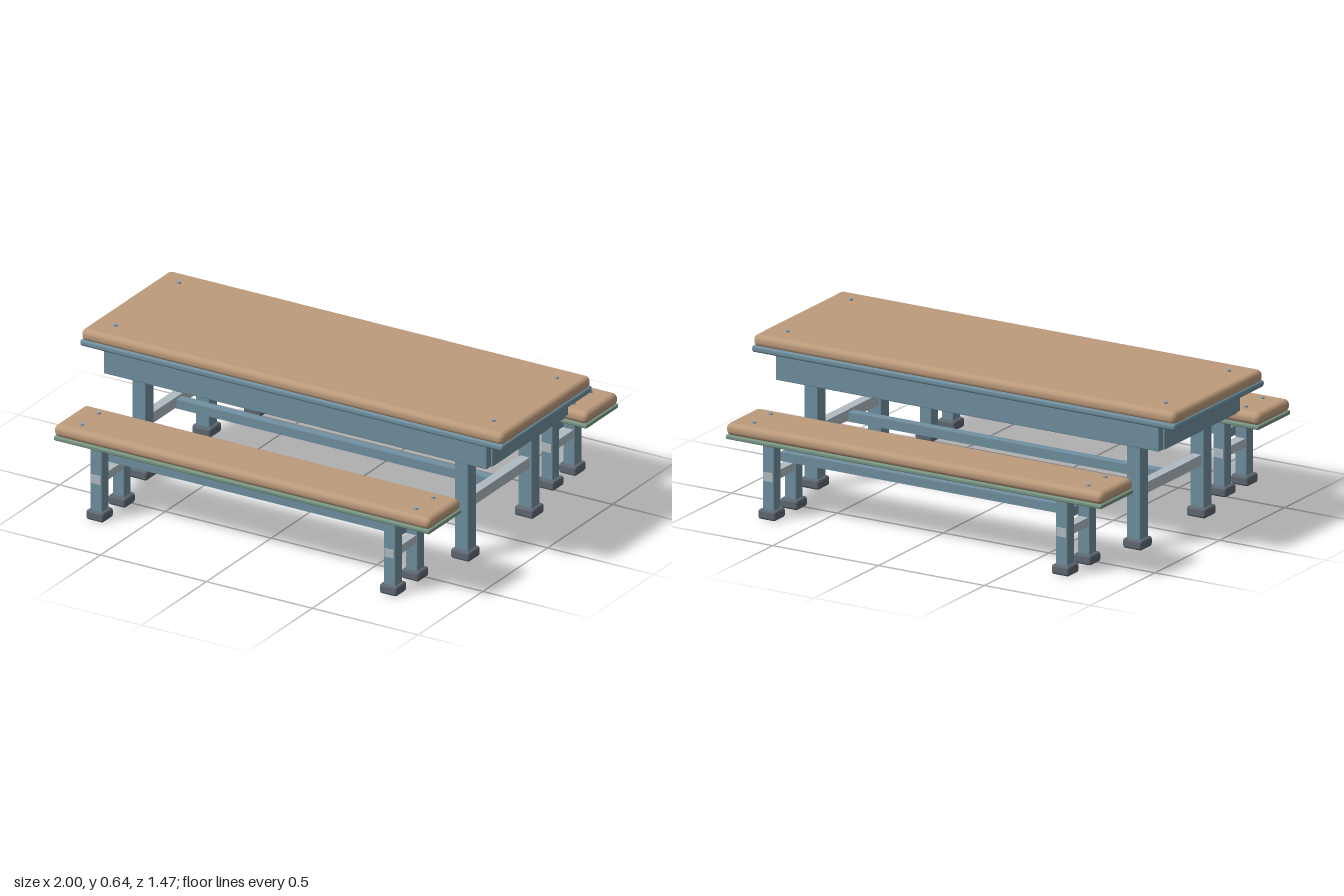
import * as THREE from 'three';
import { RoundedBoxGeometry } from 'three/addons/geometries/RoundedBoxGeometry.js';

const material = (name, color) => {
  const m = new THREE.MeshStandardMaterial({ color });
  m.name = name;
  return m;
};

export function createModel() {
  const wood = material('wood', 0xbd9b7c);
  const blue = material('blue paint', 0x7090a0);
  const green = material('green underside', 0x7a9786);
  const grey = material('pale grey bar', 0xb0bcc2);
  const rubber = material('dark foot', 0x5f6872);
  const steel = material('bolt steel', 0x8fa3b0);

  // Box helper: size, centre, optional edge radius
  function box(parent, name, mat, [w, h, d], [x, y, z], radius = 0, segments = 3) {
    const geometry = radius
      ? new RoundedBoxGeometry(w, h, d, segments, radius)
      : new THREE.BoxGeometry(w, h, d);
    const mesh = new THREE.Mesh(geometry, mat);
    mesh.name = name;
    mesh.position.set(x, y, z);
    parent.add(mesh);
  }

  // Leg with its foot, standing on the ground
  function leg(parent, x, z, width, height, footWidth) {
    box(parent, 'leg', blue, [width, height - 0.02, width], [x, (height + 0.02) / 2, z], 0.003, 1);
    box(parent, 'foot', rubber, [footWidth, 0.042, footWidth], [x, 0.021, z], 0.011, 2);
  }

  // Low bolt head on a top surface
  function bolt(parent, x, y, z) {
    const mesh = new THREE.Mesh(new THREE.CylinderGeometry(0.009, 0.01, 0.012, 12), steel);
    mesh.name = 'bolt';
    mesh.position.set(x, y, z);
    parent.add(mesh);
  }

  function createTable() {
    const table = new THREE.Group();
    table.name = 'table';
    box(table, 'tableTop', wood, [1.996, 0.054, 0.69], [0, 0.603, 0], 0.024, 4);
    box(table, 'topTrim', blue, [2, 0.029, 0.696], [0, 0.57, 0], 0.011);

    for (const s of [-1, 1]) {
      // Apron frame, open below
      box(table, 'longApron', blue, [1.81, 0.115, 0.036], [0, 0.502, s * 0.298], 0.004, 1);
      box(table, 'endApron', blue, [0.036, 0.115, 0.562], [s * 0.894, 0.502, 0], 0.004, 1);
      // Trestle at each end
      for (const t of [-1, 1]) {
        leg(table, s * 0.762, t * 0.246, 0.063, 0.557, 0.09);
        bolt(table, s * 0.893, 0.632, t * 0.245);
      }
      box(table, 'crossBar', grey, [0.042, 0.046, 0.44], [s * 0.762, 0.243, 0]);
    }
    box(table, 'longStretcher', blue, [1.5, 0.04, 0.04], [0, 0.234, 0]);
    return table;
  }

  function createBench(z) {
    const bench = new THREE.Group();
    bench.name = 'bench';
    bench.position.z = z;
    box(bench, 'benchSeat', wood, [1.78, 0.053, 0.25], [0, 0.3535, 0], 0.024, 4);
    box(bench, 'seatTrim', green, [1.776, 0.018, 0.25], [0, 0.321, 0], 0.006, 2);

    for (const s of [-1, 1]) {
      for (const t of [-1, 1]) {
        leg(bench, s * 0.693, t * 0.085, 0.054, 0.314, 0.083);
        bolt(bench, s * 0.79, 0.381, t * 0.065);
      }
      // Cross bar passes through both legs
      box(bench, 'benchCrossBar', grey, [0.044, 0.037, 0.232], [s * 0.693, 0.181, 0]);
    }
    box(bench, 'benchStretcher', blue, [1.386, 0.038, 0.035], [0, 0.242, 0]);
    return bench;
  }

  const model = new THREE.Group();
  model.name = 'picnicTableSet';
  model.add(createTable(), createBench(0.607), createBench(-0.607));
  return model;
}
